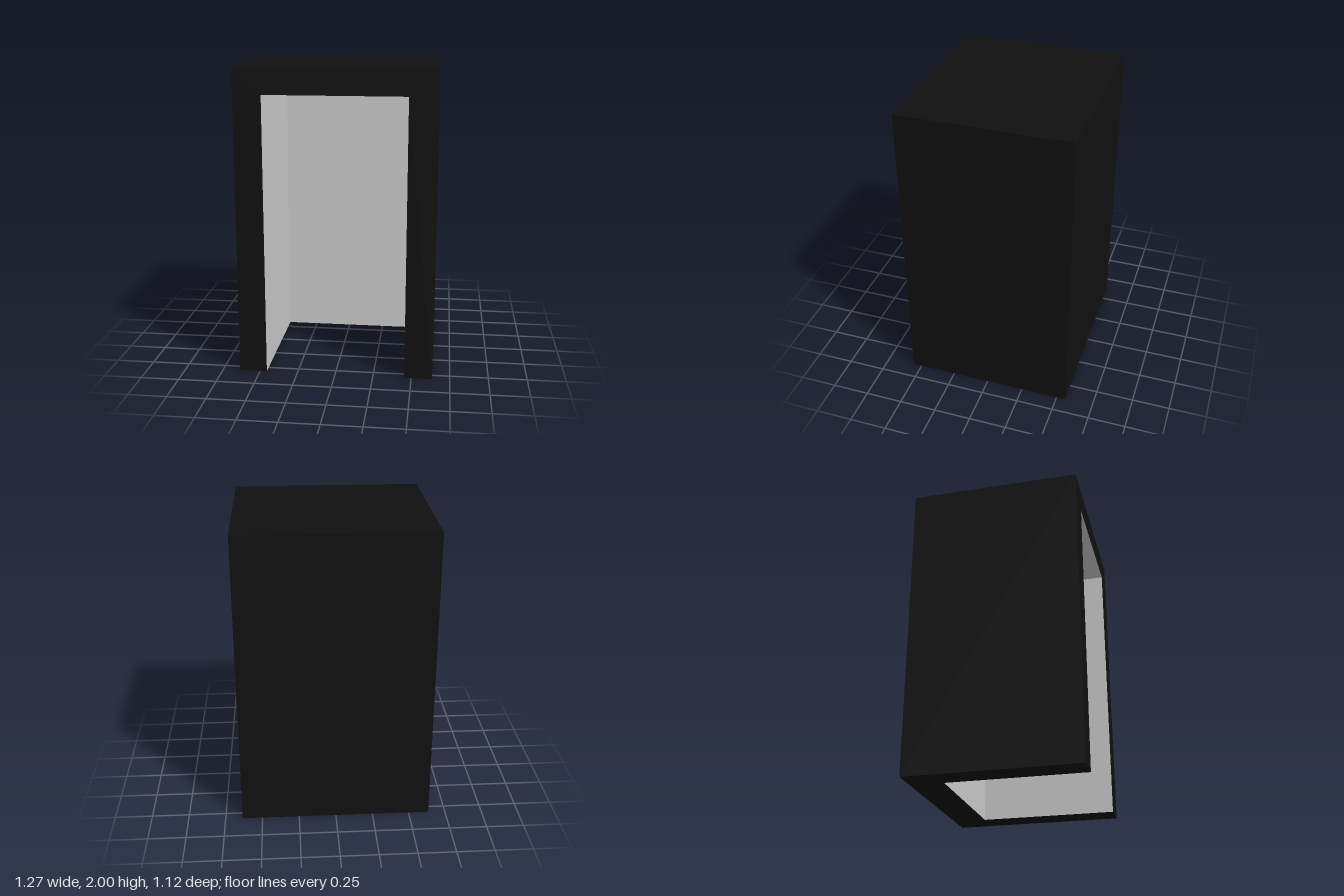
import * as THREE from 'three';

const W = 1.27, H = 2, D = 1.12;             // outer size
const IW = 0.91, IH = 1.83, ID = 0.9;        // recess size, open at front and bottom

// Box without its bottom and front; inward turns the faces to the inside
function openBox(w, h, d, inward) {
  const geo = new THREE.BoxGeometry(w, h, d);
  const all = Array.from(geo.index.array);
  const keep = [0, 1, 2, 5].flatMap((side) => all.slice(side * 6, side * 6 + 6));
  geo.setIndex(inward ? keep.reverse() : keep);
  geo.clearGroups();
  if (inward) geo.computeVertexNormals();
  return geo.translate(0, h / 2, -d / 2);    // front opening at z = 0
}

// Flat U-shaped rim around a notch that opens at v = 0
function rim(w, h, notchW, notchH) {
  const a = w / 2, b = notchW / 2;
  const points = [[-a, 0], [-b, 0], [-b, notchH], [b, notchH], [b, 0], [a, 0], [a, h], [-a, h]];
  return new THREE.ShapeGeometry(new THREE.Shape(points.map(([u, v]) => new THREE.Vector2(u, v))));
}

export function createModel() {
  const black = new THREE.MeshStandardMaterial({ color: 0x101010 });
  const grey = new THREE.MeshStandardMaterial({ color: 0xcccccc });
  const model = new THREE.Group();
  model.name = 'openCabinet';

  const add = (name, geometry, material) => {
    const mesh = new THREE.Mesh(geometry, material);
    mesh.name = name;
    mesh.position.z = D / 2;
    model.add(mesh);
    return mesh;
  };

  // Outer sides, top and back
  add('outerShell', openBox(W, H, D, false), black);
  // Inner sides, ceiling and back
  add('innerLining', openBox(IW, IH, ID, true), grey);
  // Cut edges of the walls at the front and underneath
  add('frontFrame', rim(W, H, IW, IH), black);
  add('bottomEdge', rim(W, D, IW, ID).rotateX(-Math.PI / 2).rotateZ(Math.PI), black).scale.set(1, 1, 1);

  return model;
}
